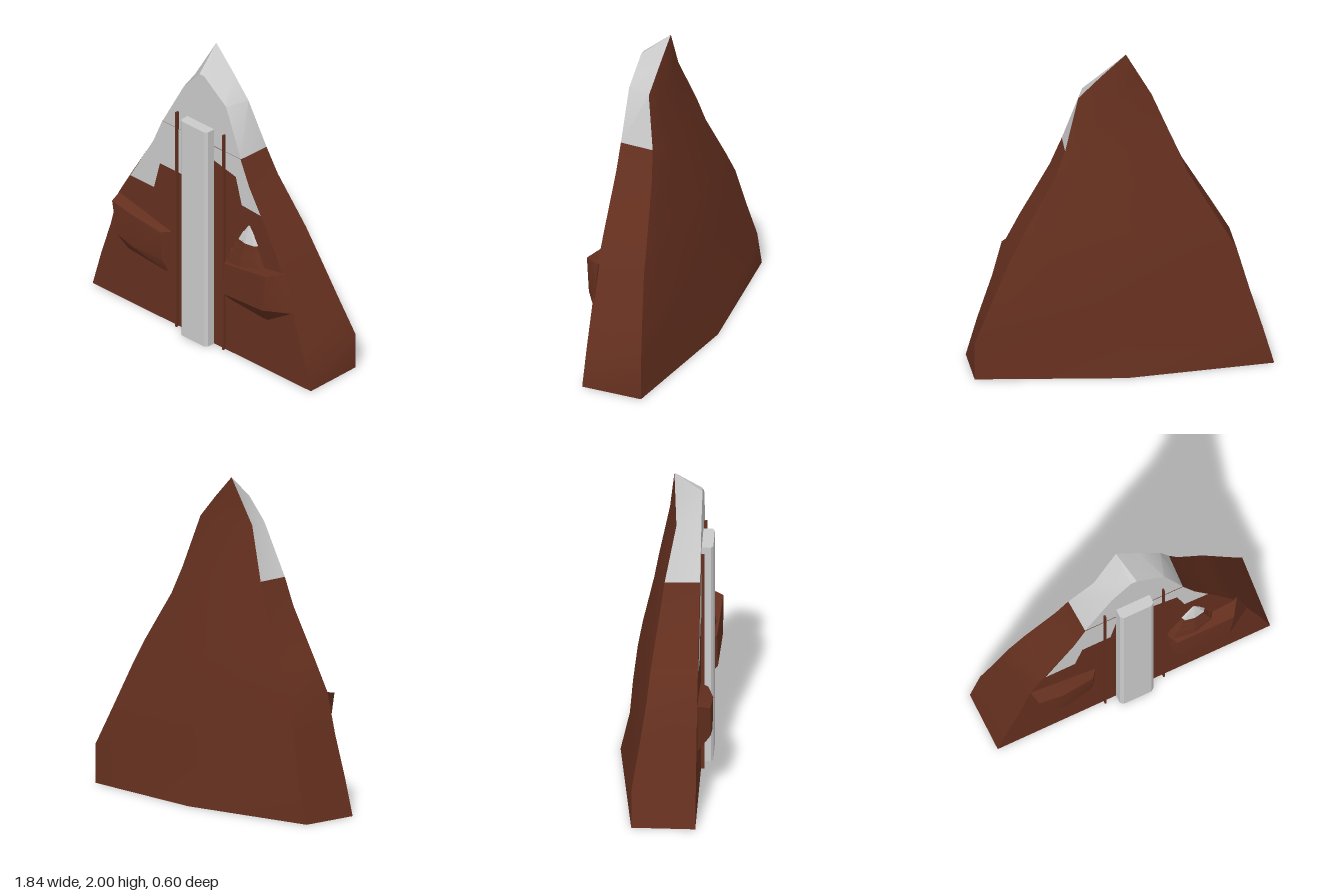
import * as THREE from 'three';
import { toCreasedNormals } from 'three/addons/utils/BufferGeometryUtils.js';
import { ConvexGeometry } from 'three/addons/geometries/ConvexGeometry.js';

const rock = new THREE.MeshStandardMaterial({ color: 0x65301f });
const snow = new THREE.MeshStandardMaterial({ color: 0xe2e2e2 });
const stone = new THREE.MeshStandardMaterial({ color: 0xcccccc });

const FRONT = 0.2;

// Mountain levels: y, outer left x, outer right x, side z, back centre z, front left x, front right x
const levels = [
  [0, -0.92, 0.92, -0.19, -0.3, -0.92, 0.92],
  [0.24, -0.85, 0.92, -0.19, -0.245, -0.85, 0.85],
  [0.48, -0.775, 0.81, -0.15, -0.225, -0.77, 0.77],
  [0.74, -0.7, 0.69, -0.11, -0.195, -0.7, 0.68],
  [0.91, -0.6, 0.6, -0.09, -0.165, -0.6, 0.59],
  [1.23, -0.41, 0.41, -0.04, -0.095, -0.405, 0.405],
  [1.4, -0.34, 0.34, -0.015, -0.065, -0.33, 0.33],
  [1.72, -0.2, 0.25, 0.05, 0.0, -0.15, 0.205],
  [1.86, -0.12, 0.11, 0.04, 0.015, -0.02, 0.02],
  [2, -0.04, -0.04, 0.03, 0.03, -0.04, -0.04],
];

function ring([y, xl, xr, zs, zb, fl, fr]) {
  const zf = y === 2 ? 0.03 : FRONT;
  return [[fl, y, zf], [fr, y, zf], [xr, y, zs], [(xl + xr) / 2, y, zb], [xl, y, zs]];
}

function add(group, name, geometry, material) {
  const mesh = new THREE.Mesh(geometry, material);
  mesh.name = name;
  group.add(mesh);
  return mesh;
}

function fromTriangles(points) {
  const g = new THREE.BufferGeometry();
  g.setAttribute('position', new THREE.Float32BufferAttribute(points.flat(), 3));
  return toCreasedNormals(g, 0.5);
}

// Brown body with a base and back; front and sides turn to snow near the top
function addMountain(group) {
  const rings = levels.map(ring);
  const body = [], cap = [];
  for (let r = 0; r < rings.length - 1; r++) {
    const a = rings[r], b = rings[r + 1];
    for (let i = 0; i < 5; i++) {
      const j = (i + 1) % 5;
      const isBack = i === 2 || i === 3;
      const out = levels[r][0] >= 1.4 && !isBack ? cap : body;
      out.push(a[i], a[j], b[j]);
      if (r < rings.length - 2) out.push(a[i], b[j], b[i]);
    }
  }
  const base = rings[0];
  for (let i = 1; i < 4; i++) body.push(base[0], base[i + 1], base[i]);
  add(group, 'mountainBody', fromTriangles(body), rock);
  add(group, 'snowCap', fromTriangles(cap), snow);
}

// Ragged snow line over the front face
function addSnowLine(group) {
  const outline = [
    [-0.6, 0.9], [-0.4, 0.9], [-0.35, 1.09], [-0.16, 1.09], [-0.12, 1.3], [0.11, 1.3], [0.29, 1.26],
    [0.34, 1.08], [0.5, 1.07], [0.405, 1.23], [0.33, 1.4], [-0.33, 1.4], [-0.405, 1.23],
  ];
  const shape = new THREE.Shape(outline.map(([x, y]) => new THREE.Vector2(x, y)));
  const mesh = add(group, 'snowLine', new THREE.ShapeGeometry(shape), snow);
  mesh.position.z = FRONT + 0.003;
}

function addRock(group, name, points) {
  const g = new ConvexGeometry(points.map((p) => new THREE.Vector3(...p)));
  add(group, name, toCreasedNormals(g, 0.5), rock);
}

// Small stepped peak standing on the right ledge
function addSmallPeak(group) {
  const peak = new THREE.Group();
  peak.name = 'smallPeak';
  const tiers = [
    [0.17, 0.14, 0.67, 0.745, rock],
    [0.135, 0.105, 0.74, 0.8, rock],
    [0.1, 0.08, 0.795, 0.85, rock],
    [0.085, 0.05, 0.845, 0.9, snow],
    [0.05, 0.005, 0.9, 0.96, snow],
  ];
  tiers.forEach(([bottom, top, y0, y1, material], i) => {
    const g = new THREE.CylinderGeometry(top, bottom, y1 - y0, 7).toNonIndexed();
    const tier = add(peak, 'peakTier', toCreasedNormals(g, 0.4), material);
    tier.position.set(0.385 + 0.004 * i, (y0 + y1) / 2, FRONT);
    tier.scale.z = 0.4;
    tier.rotation.y = 0.0;
  });
  group.add(peak);
}

export function createModel() {
  const model = new THREE.Group();
  model.name = 'mountain';
  addMountain(model);
  addSnowLine(model);

  // Bulging ledges on the front
  addRock(model, 'rightLedge', [
    [0.22, 0.66, 0.19], [0.26, 0.665, 0.275], [0.63, 0.73, 0.295], [0.7, 0.74, 0.19],
    [0.26, 0.45, 0.28], [0.6, 0.48, 0.295], [0.77, 0.48, 0.19], [0.24, 0.36, 0.19], [0.55, 0.34, 0.19],
  ]);
  addRock(model, 'leftLedge', [
    [-0.7, 0.74, 0.19], [-0.68, 0.72, 0.28], [-0.52, 0.7, 0.29], [-0.3, 0.64, 0.25], [-0.25, 0.64, 0.19],
    [-0.64, 0.5, 0.28], [-0.5, 0.47, 0.285], [-0.3, 0.45, 0.24], [-0.62, 0.36, 0.19], [-0.28, 0.33, 0.19],
  ]);
  addSmallPeak(model);

  // Upright slab with chamfered front edges
  const section = [[-0.12, -0.19], [0.105, -0.19], [0.105, -0.255], [0.085, -0.27], [-0.1, -0.27], [-0.12, -0.255]];
  const slab = new THREE.ExtrudeGeometry(
    new THREE.Shape(section.map(([x, z]) => new THREE.Vector2(x, z))), { depth: 1.52, bevelEnabled: false });
  slab.rotateX(-Math.PI / 2);
  add(model, 'slab', slab, stone);

  // Thin rails either side of the slab
  for (const x of [-0.2, 0.195]) {
    const rail = add(model, 'rail', new THREE.BoxGeometry(0.012, 1.52, 0.06), rock);
    rail.position.set(x, 0.76, 0.19);
  }
  return model;
}
